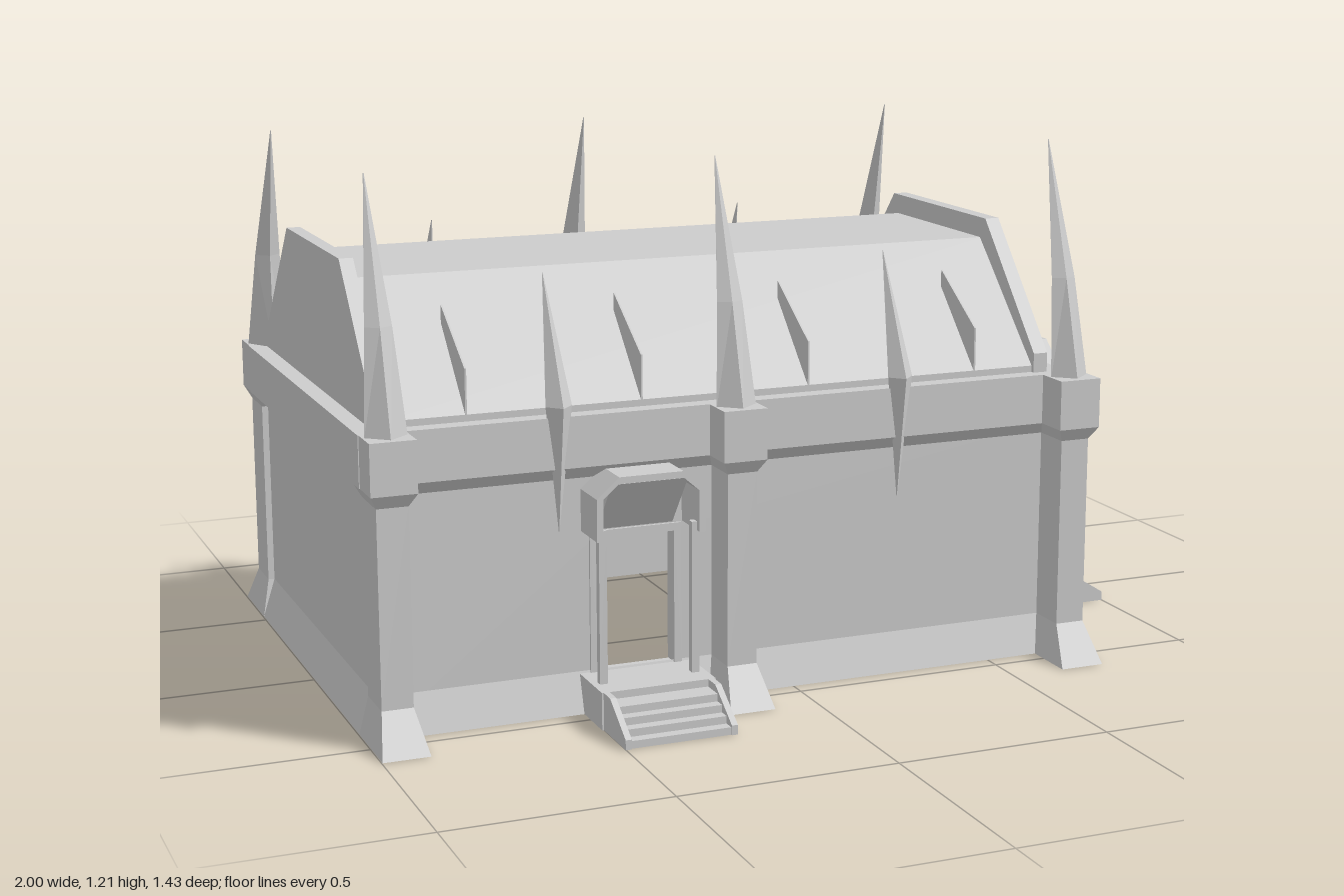
import * as THREE from 'three';

const stone = new THREE.MeshStandardMaterial({ color: 0xcccccc, side: THREE.DoubleSide });
stone.name = 'pale stone';

const MID_Z = -0.065; // the hall is mirrored about this plane

function add(parent, name, geometry) {
  const mesh = new THREE.Mesh(geometry, stone);
  mesh.name = name;
  parent.add(mesh);
  return mesh;
}

function box(x0, x1, y0, y1, z0, z1) {
  return new THREE.BoxGeometry(x1 - x0, y1 - y0, z1 - z0)
    .translate((x0 + x1) / 2, (y0 + y1) / 2, (z0 + z1) / 2);
}

// Joins four-cornered sections stacked upward; each is [y, [x, z] x 4]
function loft(sections, capped = true) {
  const rings = sections.map(([y, pts]) => pts.map(([x, z]) => [x, y, z]));
  const pos = [];
  const quad = (a, b, c, d) => pos.push(...a, ...b, ...c, ...a, ...c, ...d);
  for (let i = 0; i < rings.length - 1; i++) {
    for (let k = 0; k < 4; k++) {
      const n = (k + 1) % 4;
      quad(rings[i][k], rings[i][n], rings[i + 1][n], rings[i + 1][k]);
    }
  }
  if (capped) {
    quad(...rings[rings.length - 1]);
    quad(...[...rings[0]].reverse());
  }
  const g = new THREE.BufferGeometry();
  g.setAttribute('position', new THREE.Float32BufferAttribute(pos, 3));
  g.computeVertexNormals();
  return g;
}

const rect = (y, x0, x1, z0, z1) => [y, [[x0, z1], [x1, z1], [x1, z0], [x0, z0]]];

// Kite section, widest towards its outer end
const kite = (y, hw, z0, z1) => {
  const zm = z0 + (z1 - z0) * 0.65;
  return [y, [[-hw, zm], [0, z1], [hw, zm], [0, z0]]];
};

const shapeOf = (pts) => new THREE.Shape(pts.map(([a, b]) => new THREE.Vector2(a, b)));

function extrudeZ(shape, z0, z1) {
  return new THREE.ExtrudeGeometry(shape, { depth: z1 - z0, bevelEnabled: false }).translate(0, 0, z0);
}

// Extrudes a profile of [z, y] points along x
function extrudeX(pts, x0, x1) {
  return extrudeZ(shapeOf(pts), 0, x1 - x0).rotateY(-Math.PI / 2).translate(x1, 0, 0);
}

// Wall panel with an optional doorway
function wallGeometry(x0, x1, door) {
  const shape = shapeOf([[x0, 0], [x1, 0], [x1, 0.56], [x0, 0.56]]);
  if (door) {
    const [a, b, top] = door;
    shape.holes.push(shapeOf([[a, 0.085], [a, top], [b, top], [b, 0.085]]));
  }
  return extrudeZ(shape, 0, 0.03);
}

// Porch facing +z with its back at z = 0
function porch(name, o) {
  const g = new THREE.Group();
  g.name = name;
  const H = 0.085;
  add(g, 'platform', box(-o.platW, o.platW, 0, H, -0.02, o.platD));

  // steps between sloping cheeks
  const end = o.platD + o.stepD;
  for (let i = 0; i < 4; i++) {
    const top = 0.068 - i * 0.017;
    add(g, 'step', box(-o.stepW, o.stepW, 0, top, o.platD, o.platD + o.stepD * (0.4 + i * 0.19)));
  }
  const cheek = [[o.platD, 0], [end, 0], [end, 0.022], [o.platD + o.stepD * 0.3, H], [o.platD, H]];
  for (const s of [-1, 1]) {
    const x = s * (o.stepW - 0.006);
    add(g, 'stairCheek', extrudeX(cheek, x - 0.007, x + 0.007));
    add(g, 'porchPost', box(s * o.postX - o.postT, s * o.postX + o.postT, H, o.hoodY0 + 0.02,
      o.hoodD - 0.015 - 2 * o.postT, o.hoodD - 0.015));
  }

  // chamfered arch hood with a sloping soffit
  const w = o.hoodW, c = o.chamfer, t = o.hoodT, y0 = o.hoodY0, y1 = o.hoodY1;
  const wi = w - t, yi = y1 - t;
  const arch = shapeOf([
    [-w, y0], [-wi, y0], [-wi, yi - c * 0.7], [-wi + c * 0.8, yi], [wi - c * 0.8, yi],
    [wi, yi - c * 0.7], [wi, y0], [w, y0], [w, y1 - c], [w - c * 1.15, y1],
    [-w + c * 1.15, y1], [-w, y1 - c],
  ]);
  add(g, 'hood', extrudeZ(arch, -0.01, o.hoodD));
  add(g, 'hoodSoffit', extrudeX([[0, y0], [o.hoodD - 0.01, yi - 0.003], [0, yi]], -wi + c * 0.5, wi - c * 0.5));

  // door surround
  const d = o.doorW, f = 0.018;
  const frame = shapeOf([
    [-d - f, H], [-d, H], [-d, o.doorTop], [d, o.doorTop], [d, H], [d + f, H],
    [d + f, o.doorTop + f], [-d - f, o.doorTop + f],
  ]);
  add(g, 'doorFrame', extrudeZ(frame, -0.035, 0.006));
  return g;
}

export function createModel() {
  const model = new THREE.Group();
  model.name = 'spikedHall';

  // hollow walls
  const X0 = -0.965, X1 = 0.675, Z1 = 0.43, Z0 = 2 * MID_Z - Z1;
  add(model, 'frontWall', wallGeometry(X0, X1, [-0.462, -0.282, 0.395])).position.z = Z1 - 0.03;
  add(model, 'backWall', wallGeometry(X0, X1)).position.z = Z0;
  const rightWall = add(model, 'porchEndWall', wallGeometry(-Z1, -Z0, [-0.04, 0.15, 0.395]));
  rightWall.rotation.y = Math.PI / 2;
  rightWall.position.x = X1 - 0.03;
  const leftWall = add(model, 'plainEndWall', wallGeometry(-Z1, -Z0));
  leftWall.rotation.y = Math.PI / 2;
  leftWall.position.x = X0;

  // flared foot and overhanging cornice
  add(model, 'wallFoot', loft([
    rect(0, -0.998, 0.705, Z0 - 0.03, Z1 + 0.03), rect(0.09, X0, X1, Z0, Z1)], false));
  add(model, 'cornice', loft([
    rect(0.53, X0, X1, Z0, Z1), rect(0.56, -0.998, 0.705, Z0 - 0.03, Z1 + 0.03),
    rect(0.675, -0.998, 0.705, Z0 - 0.03, Z1 + 0.03)]));

  // roof and raised gables, profiles mirrored about the middle
  const profile = (pts) => [...pts, ...pts.map(([z, y]) => [2 * MID_Z - z, y]).reverse()];
  add(model, 'roof', extrudeX(profile([[0.42, 0.67], [0.42, 0.69], [0.155, 0.955]]), -0.93, 0.63));
  const gable = profile([[0.43, 0.67], [0.43, 0.72], [0.18, 1.003]]);
  add(model, 'porchEndGable', extrudeX(gable, 0.62, 0.655));
  add(model, 'plainEndGable', extrudeX(gable, -0.957, -0.925));
  add(model, 'gableBay', loft([0.67, 0.975].map((y) =>
    [y, [[0.65, 0.15], [0.685, 0.12], [0.685, -0.25], [0.65, -0.28]]])));

  // both long sides carry the same pillars, spikes and fins
  for (const side of [1, -1]) {
    const row = new THREE.Group();
    row.name = side > 0 ? 'frontRow' : 'backRow';
    if (side < 0) {
      row.scale.z = -1;
      row.position.z = 2 * MID_Z;
    }
    model.add(row);

    for (const x of [-0.945, -0.155, 0.68]) {
      const sec = (y, hw, z0, z1) => rect(y, -hw, hw, z0, z1);
      add(row, 'pillar', loft([
        sec(0, 0.053, 0.40, 0.59), sec(0.09, 0.035, 0.415, 0.525), sec(0.53, 0.035, 0.415, 0.525),
        sec(0.56, 0.051, 0.395, 0.545), sec(0.675, 0.051, 0.395, 0.545)])).position.x = x;
      add(row, 'tallSpike', loft([
        kite(0.67, 0.047, 0.415, 0.53), kite(0.9, 0.03, 0.422, 0.466),
        kite(1.21, 0.001, 0.364, 0.366)])).position.x = x;
    }

    for (const x of [-0.555, 0.26]) {
      add(row, 'smallSpike', loft([
        kite(0.42, 0.001, 0.449, 0.451), kite(0.7, 0.03, 0.40, 0.49),
        kite(0.975, 0.001, 0.359, 0.361)])).position.x = x;
    }

    for (const x of [-0.75, -0.35, 0.05, 0.47]) {
      add(row, 'roofFin', extrudeX([[0.42, 0.68], [0.42, 0.79], [0.25, 0.9], [0.25, 0.85]], x - 0.002, x + 0.002));
    }
  }

  // entrances
  const frontPorch = porch('frontPorch', {
    platW: 0.133, platD: 0.145, stepW: 0.128, stepD: 0.135, postX: 0.108, postT: 0.009,
    hoodW: 0.126, hoodD: 0.105, hoodY0: 0.41, hoodY1: 0.55, hoodT: 0.015, chamfer: 0.045,
    doorW: 0.09, doorTop: 0.39,
  });
  frontPorch.position.set(-0.372, 0, Z1);
  model.add(frontPorch);

  const endPorch = porch('endPorch', {
    platW: 0.228, platD: 0.18, stepW: 0.193, stepD: 0.145, postX: 0.186, postT: 0.016,
    hoodW: 0.203, hoodD: 0.18, hoodY0: 0.455, hoodY1: 0.675, hoodT: 0.033, chamfer: 0.062,
    doorW: 0.095, doorTop: 0.393,
  });
  endPorch.rotation.y = Math.PI / 2;
  endPorch.position.set(X1, 0, -0.055);
  model.add(endPorch);

  return model;
}
